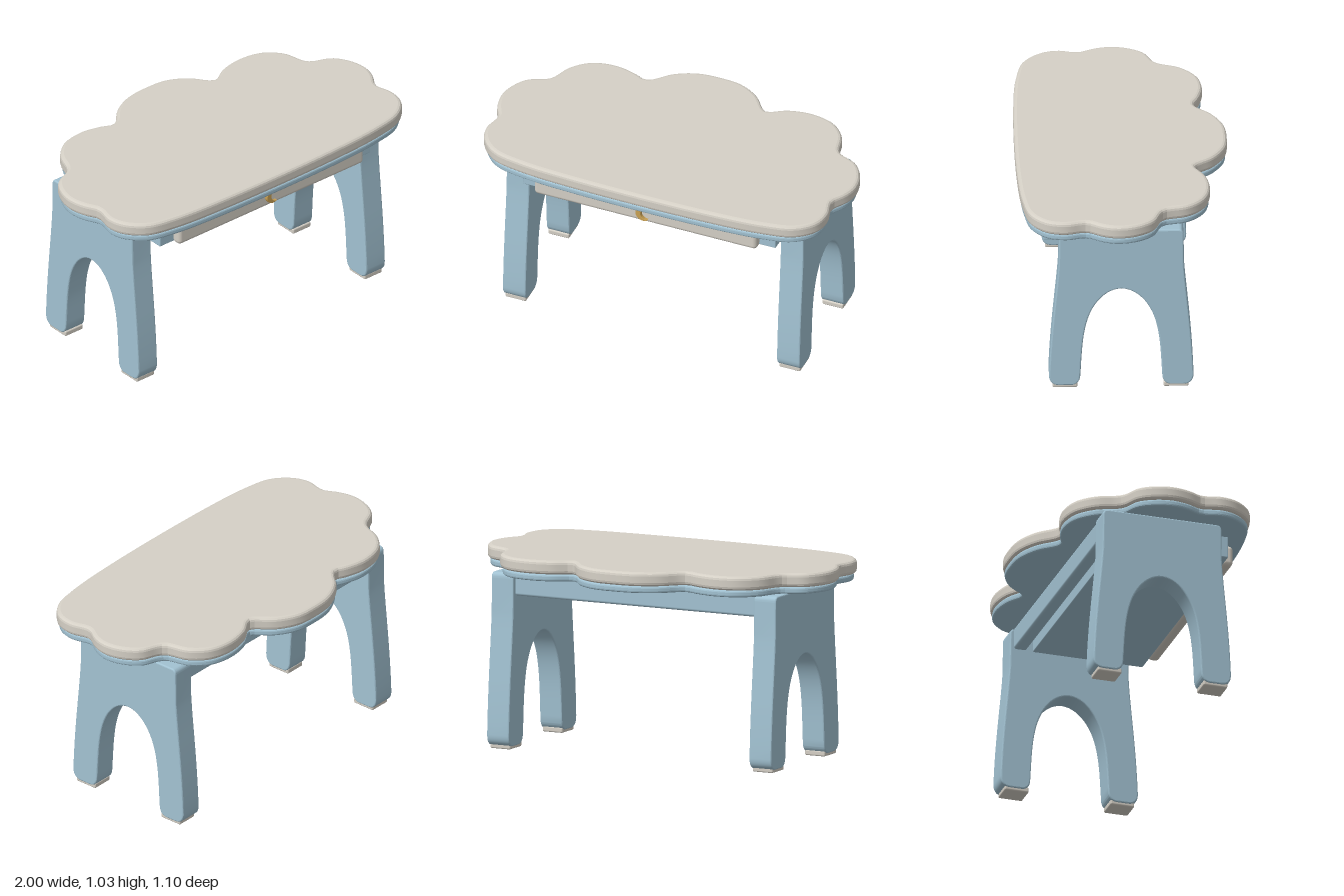
import * as THREE from 'three';
import { toCreasedNormals } from 'three/addons/utils/BufferGeometryUtils.js';
import { RoundedBoxGeometry } from 'three/addons/geometries/RoundedBoxGeometry.js';

const material = (name, color) => {
  const m = new THREE.MeshStandardMaterial({ color });
  m.name = name;
  return m;
};

// Extrudes a shape to a total depth, rounding the rims inside its outline
function slab(shape, depth, bevel, curveSegments = 12) {
  const g = new THREE.ExtrudeGeometry(shape, {
    depth: depth - 2 * bevel, curveSegments,
    bevelThickness: bevel, bevelSize: bevel, bevelOffset: -bevel, bevelSegments: 3,
  });
  g.translate(0, 0, bevel);
  return toCreasedNormals(g, 0.25);
}

// Cloud outline as x, z points, clockwise from the left lobe
const CLOUD = [
  [-1, 0.03], [-0.985, -0.06], [-0.93, -0.15], [-0.835, -0.197], [-0.81, -0.225],
  [-0.765, -0.33], [-0.67, -0.415], [-0.54, -0.44], [-0.42, -0.415], [-0.365, -0.391], [-0.33, -0.405],
  [-0.25, -0.485], [-0.13, -0.543], [0, -0.555], [0.12, -0.543], [0.23, -0.48], [0.3, -0.395], [0.325, -0.382],
  [0.42, -0.433], [0.55, -0.455], [0.68, -0.425], [0.765, -0.34], [0.8, -0.22], [0.825, -0.197],
  [0.92, -0.155], [0.98, -0.07], [1, 0.03], [0.98, 0.11], [0.935, 0.185], [0.933, 0.215],
  [0.953, 0.3], [0.93, 0.4], [0.84, 0.482], [0.68, 0.52], [0.35, 0.543],
  [-0.35, 0.543], [-0.69, 0.52], [-0.85, 0.48], [-0.94, 0.39], [-0.965, 0.3], [-0.947, 0.215], [-0.948, 0.185], [-0.98, 0.12],
];

function cloudSlab(scale, y, height, bevel) {
  const curve = new THREE.CatmullRomCurve3(
    CLOUD.map(([x, z]) => new THREE.Vector3(x * scale, -z * scale, 0)), true, 'centripetal');
  const pts = curve.getSpacedPoints(200).slice(0, -1).map(p => new THREE.Vector2(p.x, p.y));
  return slab(new THREE.Shape(pts), height, bevel).rotateX(-Math.PI / 2).translate(0, y, 0);
}

// Splayed leg panel with an arched opening, drawn in z, y around its own middle
function legShape() {
  const s = new THREE.Shape();
  s.moveTo(-0.295, 0.922);
  s.lineTo(0.295, 0.922);
  s.quadraticCurveTo(0.323, 0.922, 0.323, 0.89);
  s.lineTo(0.325, 0.72);
  s.bezierCurveTo(0.335, 0.55, 0.365, 0.35, 0.375, 0.075);
  s.quadraticCurveTo(0.375, 0.015, 0.32, 0.015);
  s.lineTo(0.255, 0.015);
  s.quadraticCurveTo(0.22, 0.02, 0.213, 0.06);
  s.bezierCurveTo(0.205, 0.18, 0.205, 0.28, 0.18, 0.38);
  s.bezierCurveTo(0.15, 0.5, 0.075, 0.578, 0, 0.578);
  s.bezierCurveTo(-0.075, 0.578, -0.15, 0.5, -0.18, 0.38);
  s.bezierCurveTo(-0.205, 0.28, -0.205, 0.18, -0.213, 0.06);
  s.quadraticCurveTo(-0.22, 0.02, -0.255, 0.015);
  s.lineTo(-0.32, 0.015);
  s.quadraticCurveTo(-0.375, 0.015, -0.375, 0.075);
  s.bezierCurveTo(-0.365, 0.35, -0.335, 0.55, -0.325, 0.72);
  s.lineTo(-0.323, 0.89);
  s.quadraticCurveTo(-0.323, 0.922, -0.295, 0.922);
  return s;
}

// Crescent opening towards +x
function moonShape(r) {
  const s = new THREE.Shape();
  const a = 0.95, tip = new THREE.Vector2(r * Math.cos(a), r * Math.sin(a));
  const cx = r * 0.5, inner = Math.hypot(tip.x - cx, tip.y), b = Math.atan2(tip.y, tip.x - cx);
  s.absarc(0, 0, r, a, Math.PI * 2 - a, false);
  s.absarc(cx, 0, inner, -b, b - Math.PI * 2 + 0, true);
  return s;
}

export function createModel() {
  const group = new THREE.Group();
  const cream = material('cream', 0xd5d0c6);
  const blue = material('soft blue', 0xa2c2d2);
  const gold = material('gold', 0xc9a154);

  const add = (name, geometry, mat, x = 0, y = 0, z = 0) => {
    const mesh = new THREE.Mesh(geometry, mat);
    mesh.name = name;
    mesh.position.set(x, y, z);
    group.add(mesh);
  };
  const box = (w, h, d, r) => new RoundedBoxGeometry(w, h, d, 3, r);

  // Cloud top on a slightly smaller blue board
  add('tabletop', cloudSlab(1, 0.956, 0.074, 0.02), cream);
  add('underTop', cloudSlab(0.985, 0.92, 0.037, 0.012), blue);

  // Leg panels with two foot pads each
  const leg = slab(legShape(), 0.13, 0.008).rotateY(-Math.PI / 2).translate(0.065, 0, 0);
  for (const [side, x] of [['left', 0.767], ['right', -0.773]]) {
    add(side + 'LegPanel', leg, blue, x, 0, 0.012);
    for (const [end, z] of [['Front', 0.304], ['Back', -0.272]])
      add(side + end + 'Foot', box(0.118, 0.03, 0.13, 0.008), cream, x, 0.015, z);
  }

  // Drawer case, rear rail, drawer front and moon handle
  add('drawerCase', box(1.42, 0.12, 0.6, 0.006), blue, -0.003, 0.864, 0.112);
  add('backRail', box(1.42, 0.12, 0.07, 0.015), blue, -0.003, 0.864, -0.258);
  add('drawerFront', box(1.25, 0.113, 0.06, 0.022), cream, -0.004, 0.86, 0.438);
  add('moonHandle', slab(moonShape(0.042), 0.025, 0.002, 24), gold, -0.008, 0.867, 0.462);
  return group;
}
